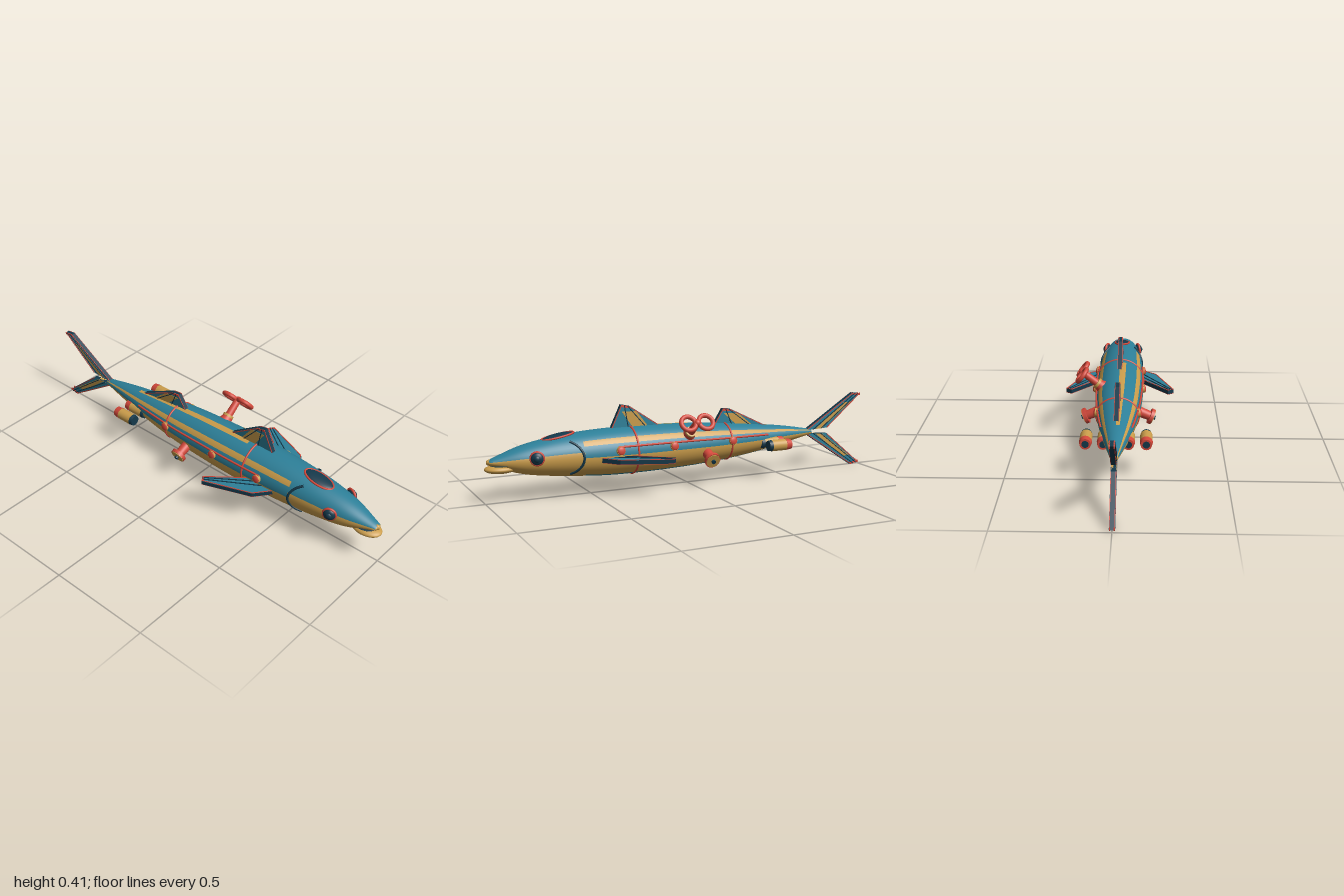
import * as THREE from 'three';

const mat = (name, color) => {
  const m = new THREE.MeshStandardMaterial({ color });
  m.name = name;
  return m;
};

export function createModel() {
  const root = new THREE.Group();
  root.name = 'fishSubmarine';
  const teal = mat('teal', 0x2d8099), brass = mat('brass', 0xcb9d4b);
  const red = mat('red', 0xd2483a), navy = mat('navy', 0x14394b);

  const add = (parent, name, geo, material, x = 0, y = 0, z = 0) => {
    const m = new THREE.Mesh(geo, material);
    m.name = name;
    m.position.set(x, y, z);
    parent.add(m);
    return m;
  };
  const group = (name, x = 0, y = 0, z = 0) => {
    const g = new THREE.Group();
    g.name = name;
    g.position.set(x, y, z);
    root.add(g);
    return g;
  };
  const cyl = (r0, r1, h) => new THREE.CylinderGeometry(r0, r1, h, 28);
  const V = (x, y, z) => new THREE.Vector3(x, y, z);

  // Hull sections evenly spaced from tail to nose: half width, top, bottom
  const Z0 = -0.7, Z1 = 0.98;
  const sections = new THREE.CatmullRomCurve3([
    [0.018, 0.212, 0.185], [0.045, 0.238, 0.158], [0.07, 0.258, 0.132], [0.09, 0.275, 0.112],
    [0.105, 0.288, 0.098], [0.113, 0.298, 0.089], [0.118, 0.304, 0.084], [0.118, 0.306, 0.082],
    [0.115, 0.305, 0.084], [0.108, 0.298, 0.094], [0.094, 0.283, 0.108], [0.07, 0.255, 0.132],
    [0.022, 0.205, 0.182],
  ].map(p => V(...p)), false, 'catmullrom', 0.5);
  const hull = (deg, z, lift = 0) => {
    const s = sections.getPoint((z - Z0) / (Z1 - Z0)), a = deg * Math.PI / 180;
    return V((s.x + lift) * Math.cos(a), (s.y + s.z) / 2 + ((s.y - s.z) / 2 + lift) * Math.sin(a), z);
  };

  // Paint bands by angle around the hull and distance along it
  const tealAt = (deg, z) => {
    const d = Math.asin(Math.sin(deg * Math.PI / 180)) * 180 / Math.PI;
    if (deg > 90 && deg < 105 && z > -0.45 && z < 0.26) return false; // stripe along the back
    if (deg > 277 && deg < 300 && z > -0.6 && z < 0.55) return true; // stripe along the belly
    return z > 0.57 ? d > 15 : d > 45 || (d > 0 && d < 30);
  };

  // Hull: one smooth loft
  const N = 48, M = 84, pos = [], faces = { teal: [], brass: [] };
  for (let i = 0; i <= M; i++)
    for (let k = 0; k < N; k++) pos.push(...hull(k * 360 / N, Z0 + (Z1 - Z0) * i / M).toArray());
  pos.push(0, 0.199, Z0 - 0.005, 0, 0.193, Z1 + 0.008);
  for (let i = 0; i < M; i++) {
    const z = Z0 + (Z1 - Z0) * (i + 0.5) / M;
    for (let k = 0; k < N; k++) {
      const a = i * N + k, b = i * N + (k + 1) % N;
      faces[tealAt((k + 0.5) * 360 / N, z) ? 'teal' : 'brass'].push(a, b, b + N, a, b + N, a + N);
    }
  }
  for (let k = 0; k < N; k++) {
    const n = (k + 1) % N, tip = (M + 1) * N;
    faces.brass.push(n, k, tip, M * N + k, M * N + n, tip + 1);
  }
  const hullGeo = new THREE.BufferGeometry();
  hullGeo.setAttribute('position', new THREE.Float32BufferAttribute(pos, 3));
  hullGeo.setIndex([...faces.teal, ...faces.brass]);
  hullGeo.addGroup(0, faces.teal.length, 0);
  hullGeo.addGroup(faces.teal.length, faces.brass.length, 1);
  hullGeo.computeVertexNormals();
  add(root, 'hull', hullGeo, [teal, brass]);

  const tube = (parent, name, pts, r, material, closed = false) =>
    add(parent, name, new THREE.TubeGeometry(new THREE.CatmullRomCurve3(pts, closed), 64, r, 8, closed), material);
  const steps = (n, f) => Array.from({ length: n }, (_, i) => f(i));

  // Hoops around the hull
  for (const z of [0.3, -0.2]) tube(root, 'hoop', steps(24, i => hull(i * 15, z)), 0.005, red, true);

  // Snout and mouth
  const ball = new THREE.SphereGeometry(1, 32, 20);
  add(root, 'lowerJaw', ball, brass, 0, 0.161, 0.925).scale.set(0.052, 0.021, 0.075);
  add(root, 'mouthLine', ball, navy, 0, 0.178, 0.915).scale.set(0.046, 0.004, 0.058);
  add(root, 'snoutTip', ball, brass, 0, 0.194, 0.975).scale.set(0.011, 0.014, 0.016);

  // Oval hatch on the head
  const hatch = group('hatch', 0, 0.287, 0.655);
  hatch.rotation.x = 0.17;
  add(hatch, 'hatchGlass', ball, navy).scale.set(0.037, 0.012, 0.076);
  tube(hatch, 'hatchRim', steps(24, i => V(0.037 * Math.cos(i * Math.PI / 12), 0.001, 0.077 * Math.sin(i * Math.PI / 12))), 0.005, red, true);

  // Parts that repeat on both sides
  for (const s of [1, -1]) {
    const side = d => (s > 0 ? d : 180 - d);
    // Aims the local y axis outwards at an angle above the horizontal
    const aim = (g, deg) => { g.rotation.z = (side(deg) - 90) * Math.PI / 180; return g; };

    const eye = group('eye', s * 0.085, 0.21, 0.78);
    eye.rotation.y = s * (Math.PI / 2 - 0.35);
    add(eye, 'eyeRim', new THREE.TorusGeometry(0.029, 0.006, 10, 32), red);
    add(eye, 'eyeDome', ball, navy, 0, 0, 0.002).scale.set(0.029, 0.029, 0.017);
    add(eye, 'pupil', ball, navy, 0, 0, 0.012).scale.set(0.016, 0.016, 0.012);

    tube(root, 'gill', steps(11, i => {
      const d = -50 + i * 10;
      return hull(side(d), 0.565 + 0.055 * (d / 50) ** 2, 0.001);
    }), 0.006, navy);
    tube(root, 'sidePipe', steps(14, i => hull(side(20), 0.4 - i * 0.0625, 0.003)), 0.005, red);

    for (const z of [0.39, 0.12, -0.2]) {
      const p = hull(side(11), z);
      const bolt = aim(group('bolt', p.x, p.y, p.z), 8);
      add(bolt, 'boltBase', cyl(0.02, 0.022, 0.02), brass);
      add(bolt, 'boltHead', ball, red, 0, 0.009, 0).scale.set(0.019, 0.007, 0.019);
    }

    // Flanged port pointing outwards and down
    const port = aim(group('port', s * 0.1, 0.163, -0.06), -23);
    add(port, 'portPipe', cyl(0.022, 0.025, 0.06), red, 0, 0.03, 0);
    add(port, 'portFlange', cyl(0.038, 0.038, 0.016), red, 0, 0.062, 0);
    add(port, 'portCap', cyl(0.034, 0.034, 0.004), brass, 0, 0.071, 0);
    add(port, 'portKnob', cyl(0.01, 0.01, 0.012), navy, 0, 0.077, 0);

    // Thrusters: an outer one, and an inner one half sunk into the hull
    for (const x of [0.135, 0.056]) {
      const pod = group('thruster', s * x, 0.175, -0.44);
      pod.rotation.x = Math.PI / 2;
      add(pod, 'podBody', cyl(0.028, 0.028, 0.08), brass, 0, 0.006, 0);
      add(pod, 'podNose', cyl(0.025, 0.028, 0.018), navy, 0, 0.054, 0);
      add(pod, 'podTail', cyl(0.029, 0.025, 0.03), red, 0, -0.046, 0);
      add(pod, 'podNozzle', cyl(0.016, 0.016, 0.004), navy, 0, -0.061, 0);
    }
  }

  // Wind-up key on the left shoulder
  const key = group('windUpKey', 0.088, 0.26, 0.03);
  key.rotation.z = -52 * Math.PI / 180;
  add(key, 'keyBase', cyl(0.026, 0.032, 0.02), red, 0, 0.005, 0);
  add(key, 'keyCollar', cyl(0.027, 0.027, 0.012), brass, 0, 0.021, 0);
  add(key, 'keyStem', cyl(0.017, 0.019, 0.1), red, 0, 0.06, 0);
  add(key, 'keyHub', ball, red, 0, 0.112, 0).scale.setScalar(0.018);
  for (const s of [1, -1])
    add(key, 'keyLoop', new THREE.TorusGeometry(0.036, 0.011, 12, 32), red, 0, 0.112, s * 0.045).rotation.x = Math.PI / 2;

  // Fins: outline runs from the front root round the tip to the rear root
  const fin = (name, pts, flat = false) => {
    const g = group(name), t = 0.019;
    if (flat) g.rotation.x = Math.PI / 2, g.position.y = 0.178;
    else g.rotation.y = -Math.PI / 2;
    const P = pts.map(p => new THREE.Vector2(...p));
    const slab = (part, outline, depth, materials) => {
      const geo = new THREE.ExtrudeGeometry(new THREE.Shape(outline), { depth, bevelEnabled: false });
      add(g, part, geo.translate(0, 0, -depth / 2), materials);
    };
    // Thin strip laid on both faces of the blade, set in from the edge
    const strip = (part, a, b, w, h, material, inset = 0) => {
      const d = b.clone().sub(a), n = new THREE.Vector2(-d.y, d.x).setLength(inset);
      if (n.dot(centre.clone().sub(a)) < 0) n.negate();
      const c = a.clone().add(b).multiplyScalar(0.5).add(n);
      for (const s of [1, -1])
        add(g, part, new THREE.BoxGeometry(d.length(), w, h), material, c.x, c.y, s * t / 2).rotation.z = d.angle();
    };
    const mix = (p, q, f) => p.clone().lerp(q, f);
    const centre = P.reduce((m, p) => m.add(p), new THREE.Vector2()).divideScalar(P.length);
    const a = P[0], [b, c, d] = P.slice(-3);
    slab('finBlade', P, t, [teal, navy]);
    if (!flat) slab('finPanel', [mix(a, d, 0.45), mix(mix(b, c, 0.5), a, 0.25), mix(mix(b, c, 0.75), d, 0.25), mix(a, d, 0.75)], t + 0.003, brass);
    for (let i = 0; i < P.length - 3; i++) strip('finLeadingPiping', P[i], P[i + 1], 0.004, 0.005, red, 0.003);
    strip('finTipPiping', b, c, 0.01, 0.005, red, 0.005);
    strip('finRearPiping', c, d, 0.004, 0.005, red, 0.003);
    for (const f of [0.35, 0.7]) strip('finRib', mix(a, d, f), mix(b, c, f), 0.004, 0.007, navy);
  };
  fin('frontDorsalFin', [[0.4, 0.295], [0.345, 0.412], [0.3, 0.402], [0.14, 0.295]]);
  fin('rearDorsalFin', [[-0.14, 0.275], [-0.19, 0.355], [-0.235, 0.35], [-0.43, 0.255]]);
  fin('upperTailFin', [[-0.67, 0.208], [-0.95, 0.384], [-0.998, 0.378], [-0.8, 0.212]]);
  fin('lowerTailFin', [[-0.67, 0.19], [-0.95, 0.004], [-0.998, 0.014], [-0.8, 0.182]]);
  for (const s of [1, -1])
    fin('pectoralFin', [[s * 0.105, 0.485], [s * 0.185, 0.42], [s * 0.27, 0.19], [s * 0.242, 0.17], [s * 0.105, 0.34]], true);

  return root;
}
